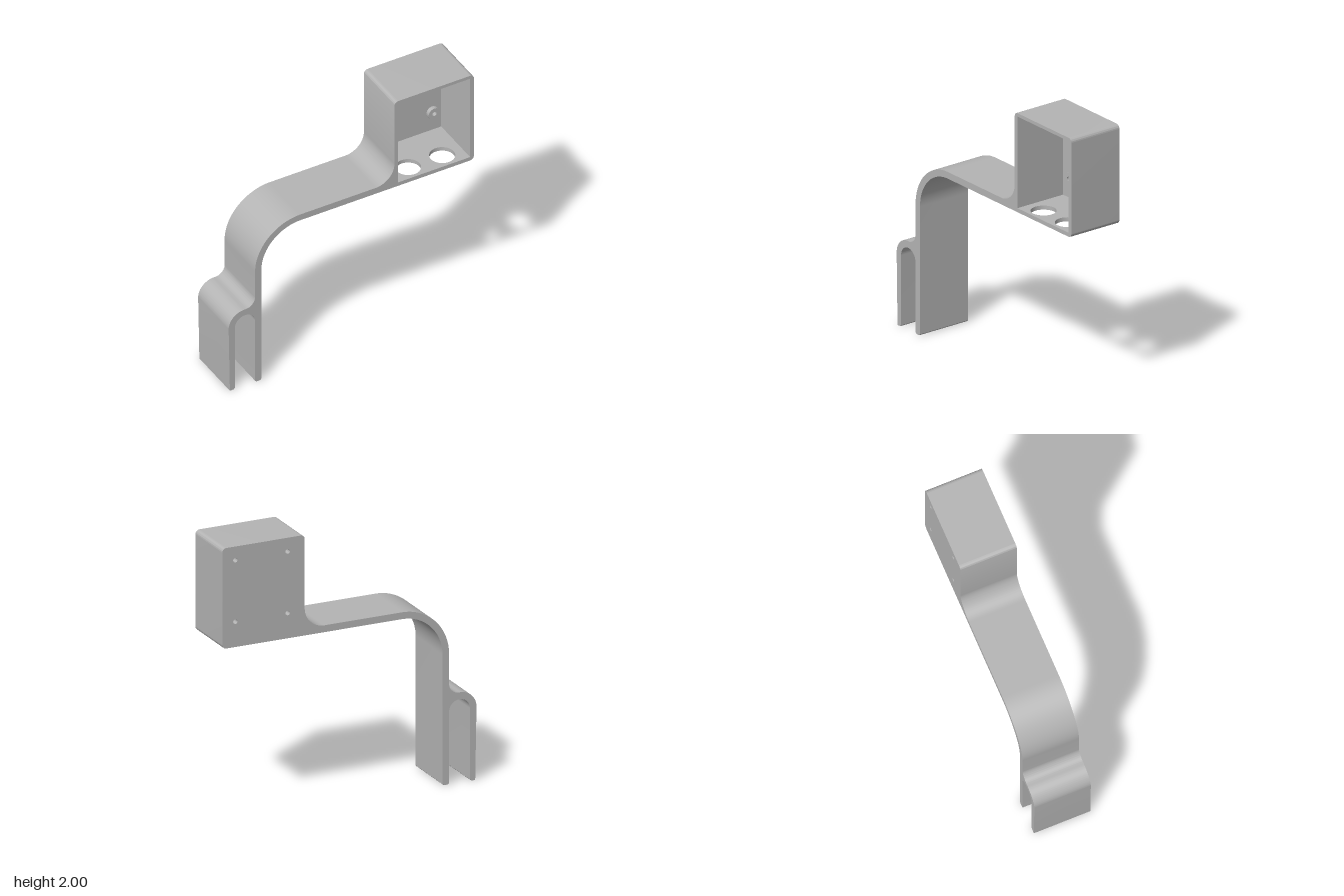
import * as THREE from 'three';
import { toCreasedNormals } from 'three/addons/utils/BufferGeometryUtils.js';

const HALF = 0.21; // half of the depth along z
const Q = Math.PI / 2;
const HOLES = [[0.47, 1.45], [0.87, 1.45], [0.47, 1.9], [0.87, 1.9]];

const extrude = (shape, depth) => toCreasedNormals(
  new THREE.ExtrudeGeometry(shape, { depth, bevelEnabled: false, curveSegments: 24 }), 0.5);

const rect = (x0, y0, x1, y1) => new THREE.Shape(
  [[x0, y0], [x1, y0], [x1, y1], [x0, y1]].map(([x, y]) => new THREE.Vector2(x, y)));

const circle = (x, y, r) => new THREE.Path().absarc(x, y, r, 0, Math.PI * 2, true);

// Clip, curved arm and box walls as one outline; the floor is a separate plate
function bracketShape() {
  const s = new THREE.Shape();
  const lines = (...pts) => pts.forEach(([x, y]) => s.lineTo(x, y));
  s.moveTo(-0.975, 0.01);
  s.absarc(-0.85, 0.535, 0.125, Math.PI, Q, true);
  s.absarc(-0.84, 0.735, 0.075, -Q, 0, false);
  s.absarc(-0.405, 0.955, 0.36, Math.PI, Q, true);
  s.absarc(0.19, 1.465, 0.15, -Q, 0, false);
  // rounded outside of the box
  s.absarc(0.37, 1.97, 0.03, Math.PI, Q, true);
  s.absarc(0.94, 1.97, 0.03, Q, 0, true);
  s.absarc(0.94, 1.295, 0.03, 0, -Q, true);
  // inside of the box
  lines([0.93, 1.265], [0.93, 1.295], [0.94, 1.295], [0.94, 1.975],
    [0.37, 1.975], [0.37, 1.295], [0.39, 1.295], [0.39, 1.265]);
  // underside of the arm and the two clip legs
  s.absarc(-0.405, 0.955, 0.31, Q, Math.PI, false);
  lines([-0.715, 0.01], [-0.725, 0], [-0.755, 0], [-0.765, 0.01]);
  s.absarc(-0.845, 0.53, 0.08, 0, Math.PI, false);
  lines([-0.925, 0.01], [-0.935, 0], [-0.965, 0]);
  s.closePath();
  return s;
}

export function createModel() {
  const model = new THREE.Group();
  model.name = 'clipOnBracket';
  const grey = new THREE.MeshStandardMaterial({ color: 0xb4b4b4 });
  grey.name = 'grey plastic';

  const add = (name, geometry, x, y, z) => {
    const mesh = new THREE.Mesh(geometry, grey);
    mesh.name = name;
    mesh.position.set(x, y, z);
    model.add(mesh);
  };

  add('armAndBoxWalls', extrude(bracketShape(), HALF * 2), 0, 0, -HALF);

  // Box floor with two cable openings
  const floor = rect(0.39, -HALF, 0.93, HALF);
  for (const x of [0.515, 0.785]) floor.holes.push(circle(x, -0.095, 0.09));
  add('boxFloor', extrude(floor, 0.03).rotateX(-Q), 0, 1.265, 0);

  // Back plate with four screw holes
  const back = rect(0.37, 1.295, 0.94, 1.975);
  for (const [x, y] of HOLES) back.holes.push(circle(x, y, 0.017));
  add('boxBack', extrude(back, 0.022), 0, 0, -HALF);

  // Hollow screw posts inside the box
  const ring = new THREE.Shape().absarc(0, 0, 0.047, 0, Math.PI * 2, false);
  ring.holes.push(circle(0, 0, 0.017));
  const post = extrude(ring, 0.03);
  for (const [x, y] of HOLES) add('screwPost', post, x, y, -HALF + 0.022);

  return model;
}
